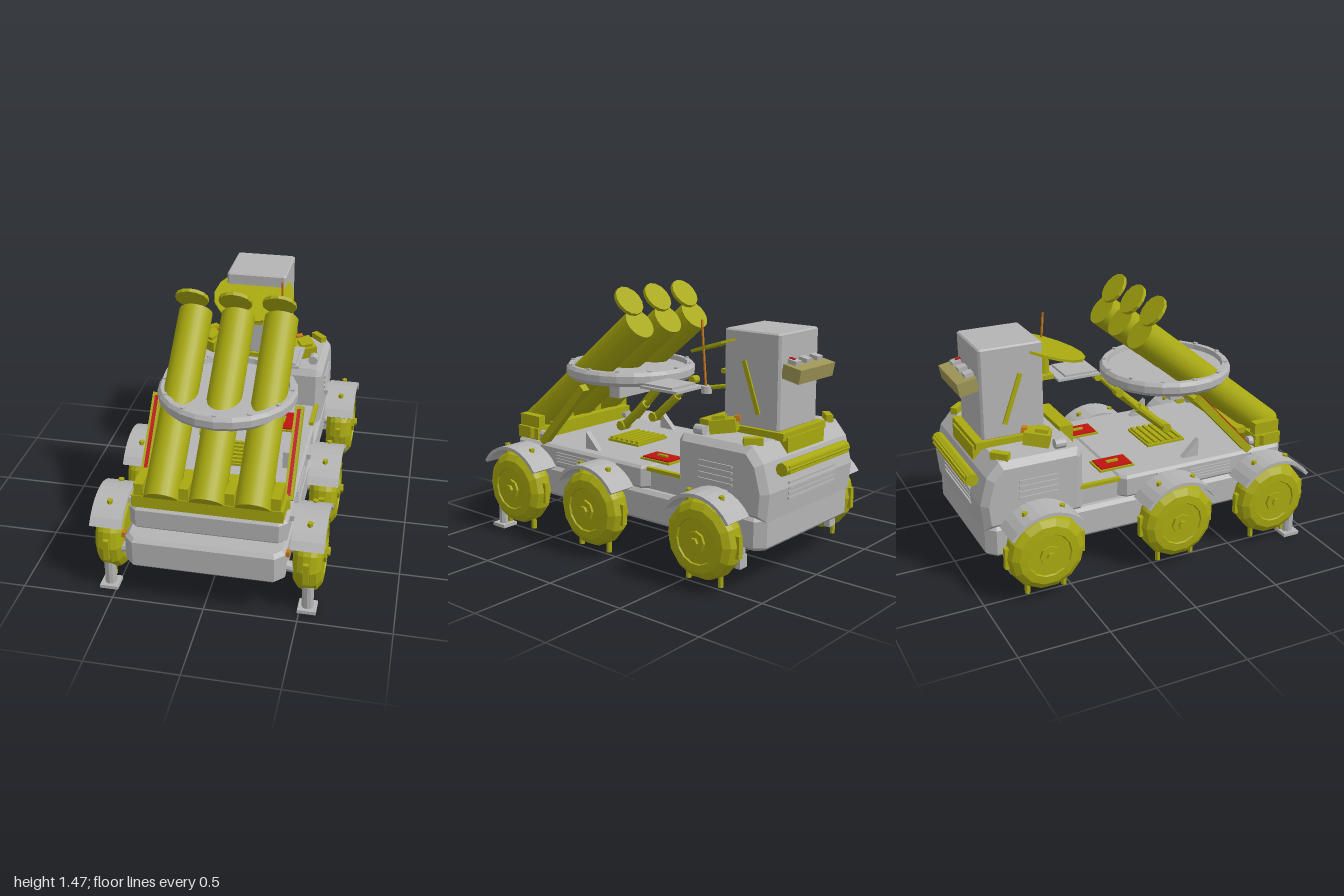
import * as THREE from 'three';

export function createModel() {
  const root = new THREE.Group();
  const mat = (name, color) => {
    const m = new THREE.MeshStandardMaterial({ color, flatShading: true });
    m.name = name;
    return m;
  };
  const grey = mat('grey', 0xb4b4b4), olive = mat('olive', 0xa8a810), red = mat('red', 0xc01212);
  const tan = mat('tan', 0x9e9656), orange = mat('orange', 0xc87818);
  const smooth = olive.clone();
  smooth.flatShading = false;

  const add = (name, geo, m, x = 0, y = 0, z = 0, parent = root) => {
    const mesh = new THREE.Mesh(geo, m);
    mesh.name = name;
    mesh.position.set(x, y, z);
    parent.add(mesh);
    return mesh;
  };
  const box = (name, m, w, h, d, x, y, z, parent) => add(name, new THREE.BoxGeometry(w, h, d), m, x, y, z, parent);
  const V = (x, y, z) => new THREE.Vector3(x, y, z);
  const rod = (name, m, a, b, r, sides = 10, parent = root) => {
    const d = b.clone().sub(a);
    const mesh = add(name, new THREE.CylinderGeometry(r, r, d.length(), sides), m, 0, 0, 0, parent);
    mesh.position.copy(a).add(b).multiplyScalar(0.5);
    mesh.quaternion.setFromUnitVectors(V(0, 1, 0), d.normalize());
    return mesh;
  };
  const extrude = (pts, depth, bevel) => {
    const shape = new THREE.Shape(pts.map(p => new THREE.Vector2(p[0], p[1])));
    return new THREE.ExtrudeGeometry(shape, {
      depth: depth - 2 * bevel, bevelEnabled: bevel > 0, bevelSize: bevel, bevelThickness: bevel,
      bevelOffset: -bevel, bevelSegments: 1
    }).translate(0, 0, -(depth - 2 * bevel) / 2);
  };
  // side profile in (z, y), extruded across x
  const sideways = (pts, width, bevel = 0) => extrude(pts, width, bevel).rotateY(-Math.PI / 2);
  // plan in (x, z) with cut corners, extruded along y
  const slab = (w, z0, z1, y0, y1, cut, bevel) => extrude([
    [-w, z0 + cut], [-w + cut, z0], [w - cut, z0], [w, z0 + cut],
    [w, z1 - cut], [w - cut, z1], [-w + cut, z1], [-w, z1 - cut]
  ], y1 - y0, bevel).rotateX(Math.PI / 2).translate(0, (y0 + y1) / 2, 0);
  const sides = [-1, 1];

  // Hull and decks
  add('lowerHull', slab(0.425, -0.935, 1, 0.22, 0.4, 0.05, 0.02), grey);
  add('upperDeck', slab(0.42, -0.16, 0.9, 0.4, 0.53, 0.04, 0.015), grey);
  box('middleDeck', grey, 0.76, 0.12, 0.26, 0, 0.46, -0.27);
  add('rearCab', sideways([[-0.375, 0.38], [-0.375, 0.72], [-0.4, 0.76], [-0.845, 0.76],
    [-0.915, 0.68], [-0.955, 0.53], [-0.94, 0.38]].reverse(), 0.85, 0.035), grey);
  for (const s of sides) {
    box('deckRail', olive, 0.025, 0.02, 0.24, s * 0.4, 0.52, -0.275);
    for (let i = 0; i < 4; i++) {
      box('cabSideVent', grey, 0.012, 0.014, 0.22, s * 0.427, 0.545 + i * 0.032, -0.64);
      box('deckSideVent', grey, 0.012, 0.01, 0.27, s * 0.422, 0.435 + i * 0.018, 0.405);
      box('rearVent', grey, 0.44, 0.012, 0.03, 0, 0.47 + i * 0.028, -0.943);
    }
    box('hatchFrame', olive, 0.14, 0.012, 0.21, s * 0.24, 0.535, -0.125);
    box('hatchLid', red, 0.12, 0.01, 0.19, s * 0.24, 0.543, -0.125);
    box('hatchHandle', olive, 0.018, 0.012, 0.07, s * 0.24, 0.552, -0.125);
    add('gusset', sideways([[0.27, 0.53], [0.37, 0.53], [0.37, 0.63]], 0.035), grey, s * 0.33);
    for (const [z, y] of [[0.72, 0.56], [-0.49, 0.785]]) {
      rod('lampCan', grey, V(s * 0.36, y, z - 0.03), V(s * 0.36, y, z + 0.03), 0.028);
    }
    box('cornerBlock', olive, 0.1, 0.06, 0.035, s * 0.37, 0.57, 0.79).rotation.y = s * 0.8;
    box('cornerBlock', olive, 0.1, 0.04, 0.04, s * 0.35, 0.775, -0.82).rotation.y = -s * 0.8;
    box('sideMarker', orange, 0.02, 0.03, 0.03, s * 0.435, 0.38, 0.93);
    // Stabiliser jacks and rear hooks
    box('jackFoot', grey, 0.1, 0.02, 0.1, s * 0.54, 0.01, 0.885);
    rod('jackPost', grey, V(s * 0.54, 0.02, 0.885), V(s * 0.54, 0.26, 0.885), 0.032);
    rod('jackArm', grey, V(s * 0.54, 0.25, 0.885), V(s * 0.4, 0.27, 0.885), 0.03);
    box('rearHook', grey, 0.06, 0.07, 0.035, s * 0.425, 0.155, -0.81);
    rod('rearHookStem', grey, V(s * 0.41, 0.17, -0.81), V(s * 0.41, 0.25, -0.81), 0.015);
  }
  box('deckGrating', olive, 0.26, 0.016, 0.24, 0, 0.535, 0.28);
  for (let i = 0; i < 6; i++) box('gratingBar', olive, 0.24, 0.016, 0.02, 0, 0.547, 0.18 + i * 0.04);

  // Wheels, mudguards and axles
  const wheelGeo = new THREE.LatheGeometry([[0, -0.078], [0.17, -0.078], [0.205, -0.05], [0.217, -0.02],
    [0.217, 0.02], [0.205, 0.05], [0.17, 0.074], [0.125, 0.078], [0.12, 0.07], [0, 0.07]]
    .map(p => new THREE.Vector2(...p)), 14).rotateZ(-Math.PI / 2);
  const arc = [];
  for (let i = 0; i <= 10; i++) {
    const a = Math.PI / 2 + (i / 5 - 1) * 0.98;
    arc.push([Math.cos(a), Math.sin(a)]);
  }
  const guardGeo = sideways([...arc.map(p => [p[0] * 0.257, p[1] * 0.257]),
    ...arc.map(p => [p[0] * 0.238, p[1] * 0.238]).reverse()], 0.175);
  for (const z of [0.735, 0.123, -0.66]) {
    rod('axle', grey, V(-0.5, 0.275, z), V(0.5, 0.275, z), 0.03);
    rod('axleLine', grey, V(-0.42, 0.218, z), V(0.42, 0.218, z), 0.008, 6);
    box('bellyBlock', grey, 0.1, 0.045, 0.09, 0, 0.198, z);
    for (const s of sides) {
      const w = new THREE.Group();
      w.name = 'wheel';
      w.position.set(s * 0.533, 0.275, z);
      w.rotation.y = s < 0 ? Math.PI : 0;
      root.add(w);
      add('tyre', wheelGeo, olive, 0, 0, 0, w);
      rod('hub', olive, V(0.06, 0, 0), V(0.084, 0, 0), 0.058, 8, w);
      rod('hubCap', olive, V(0.08, 0, 0), V(0.1, 0, 0), 0.025, 6, w);
      for (const t of sides) {
        rod('treadStud', olive, V(0, -0.24, t * 0.105), V(0, 0.245, t * 0.105), 0.016, 6, w);
        box('treadLug', olive, 0.03, 0.12, 0.03, 0, 0, t * 0.212, w);
      }
      add('mudguard', guardGeo, grey, s * 0.533, 0.272, z);
      box('mudguardBracket', grey, 0.06, 0.03, 0.12, s * 0.43, 0.5, z);
    }
  }

  // Launch tubes with open lids
  for (const x of [-0.24, 0, 0.24]) {
    const t = new THREE.Group();
    t.name = 'launchTube';
    t.position.set(x, 0.59, 0.885);
    t.rotation.x = -0.886;
    root.add(t);
    const body = new THREE.CylinderGeometry(0.093, 0.093, 1.09, 24);
    add('tubeBody', body, smooth, 0, 0.545, 0, t);
    add('tubeLid', new THREE.CylinderGeometry(0.092, 0.092, 0.02, 14), olive, 0, 1.1, 0.14, t);
  }

  // Ring platform around the tubes
  add('ringPlatform', new THREE.LatheGeometry([[0, 0.94], [0.33, 0.94], [0.34, 0.918], [0.362, 0.918],
    [0.38, 0.94], [0.38, 0.978], [0.365, 0.998], [0.335, 0.998], [0.33, 0.97], [0, 0.97]]
    .map(p => new THREE.Vector2(...p)), 24), grey, 0, 0, 0.33);
  for (let i = 0; i < 12; i++) {
    const a = i * Math.PI / 6;
    box('rimTab', grey, 0.02, 0.012, 0.02, Math.sin(a) * 0.352, 1, 0.33 + Math.cos(a) * 0.352).rotation.y = a;
  }

  // Cradle, struts and pistons
  box('cradleBase', olive, 0.8, 0.07, 0.17, 0, 0.565, 0.805);
  for (const x of [-0.36, -0.12, 0.12, 0.36]) box('cradleCheek', olive, 0.05, 0.14, 0.16, x, 0.6, 0.805);
  box('cradleBrace', olive, 0.64, 0.035, 0.06, 0, 0.615, 0.67);
  box('supportBlock', grey, 0.27, 0.09, 0.08, 0, 0.845, 0.34);
  for (const s of sides) {
    const strut = new THREE.Group();
    strut.name = 'sideStrut';
    strut.position.set(s * 0.393, 0.715, 0.5);
    strut.rotation.x = -0.743;
    root.add(strut);
    box('strutBeam', olive, 0.048, 0.51, 0.045, 0, 0, 0, strut);
    box('strutStripe', red, 0.018, 0.47, 0.008, 0, 0, 0.025, strut);
    rod('pistonBarrel', olive, V(s * 0.14, 0.645, 0.26), V(s * 0.14, 0.8, 0.085), 0.026);
    rod('pistonRod', olive, V(s * 0.14, 0.79, 0.09), V(s * 0.14, 0.93, -0.045), 0.015);
    rod('pistonFoot', olive, V(s * 0.14 - 0.035, 0.65, 0.26), V(s * 0.14 + 0.035, 0.65, 0.26), 0.028);
    rod('pistonEye', olive, V(s * 0.14 - 0.025, 0.915, -0.04), V(s * 0.14 + 0.025, 0.915, -0.04), 0.024);
  }

  // Radar mast on the rear cab
  box('turntable', olive, 0.4, 0.04, 0.42, 0, 0.775, -0.69);
  box('frontLocker', olive, 0.34, 0.11, 0.08, 0, 0.73, -0.37);
  add('mastCabinet', slab(0.178, -0.855, -0.5, 0.79, 1.3, 0.012, 0.008), grey);
  add('radarDish', new THREE.CylinderGeometry(0.238, 0.238, 0.014, 16), olive, 0, 1.2, -0.425).rotation.x = 0.31;
  add('dishMount', new THREE.CylinderGeometry(0.034, 0.034, 0.14, 12), olive, 0, 1.11, -0.43);
  box('dishArm', olive, 0.12, 0.025, 0.14, 0, 1.04, -0.46);
  rod('antennaArm', olive, V(0.17, 0.96, -0.37), V(0.16, 0.99, -0.52), 0.012);
  box('sidePlate', grey, 0.24, 0.014, 0.26, 0.21, 0.945, -0.17);
  box('sidePlateStep', grey, 0.2, 0.014, 0.2, 0.21, 0.957, -0.15);
  rod('antennaBase', grey, V(0.18, 0.935, -0.385), V(0.18, 0.975, -0.385), 0.03);
  rod('antenna', orange, V(0.18, 0.97, -0.38), V(0.18, 1.33, -0.35), 0.007, 6);
  for (const s of sides) {
    box('cabinetStrip', olive, 0.012, 0.29, 0.025, s * 0.181, 1.005, -0.68).rotation.x = 0.34;
    const pod = new THREE.Group();
    pod.name = 'sidePod';
    pod.position.set(s * 0.285, 0.81, -0.585);
    pod.rotation.set(0.15, s * 0.5, 0);
    root.add(pod);
    box('podBody', olive, 0.12, 0.07, 0.14, 0, 0, 0, pod);
    box('podCap', olive, 0.07, 0.03, 0.07, 0, 0.04, 0.02, pod);
    box('podLight', orange, 0.04, 0.03, 0.03, 0, 0.03, -0.075, pod);
  }

  // Rear lamp housing and bumper bar
  const lamp = new THREE.Group();
  lamp.name = 'lampHousing';
  lamp.position.set(0, 1.1, -0.91);
  lamp.rotation.x = -0.2;
  root.add(lamp);
  box('housing', tan, 0.32, 0.075, 0.11, 0, 0, 0, lamp);
  for (const x of [-0.1, 0, 0.1]) box('lampUnit', grey, 0.05, 0.03, 0.05, x, 0.045, 0.03, lamp);
  box('lampMarker', red, 0.02, 0.02, 0.03, 0.1, 0.055, 0.045, lamp);
  box('rearStep', olive, 0.34, 0.08, 0.06, 0, 0.73, -0.88);
  rod('rearBar', olive, V(-0.3, 0.64, -0.962), V(0.3, 0.64, -0.962), 0.036, 8);
  for (const y of [0.625, 0.655]) box('rearBarRail', olive, 0.56, 0.012, 0.012, 0, y, -0.994);

  return root;
}
